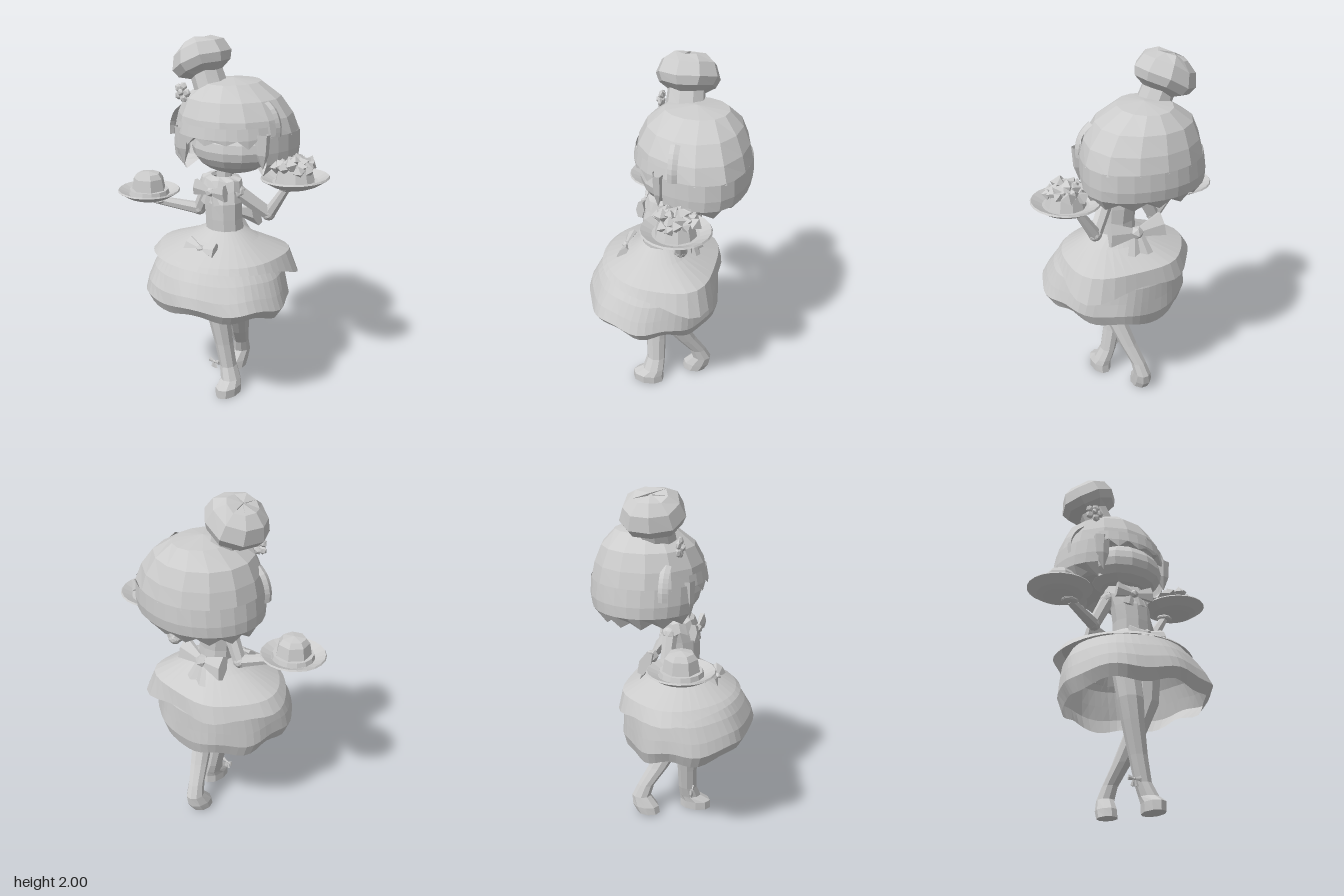
import * as THREE from 'three';

const clay = new THREE.MeshStandardMaterial({ color: 0xcccccc, flatShading: true, side: THREE.DoubleSide });
clay.name = 'light grey';

const V = (x, y, z) => new THREE.Vector3(x, y, z);

// Smooth bump around angle c, sharper for larger k
const bump = (a, c, k) => Math.exp((Math.cos(a - c) - 1) * k);

function add(parent, name, geo, pos = [0, 0, 0], rot = [0, 0, 0], scale = [1, 1, 1]) {
  const m = new THREE.Mesh(geo, clay);
  m.name = name;
  m.position.set(...pos);
  m.rotation.set(...rot);
  m.scale.set(...scale);
  parent.add(m);
  return m;
}

// Skin over horizontal elliptical rings [y, cx, cz, rx, rz], listed top to bottom.
// swell(a, t) scales the radius and drop(a, t, i) shifts the height.
function loft(rows, seg = 8, { swell, drop, a0 = 0, arc = Math.PI * 2 } = {}) {
  const pos = [], idx = [], w = seg + 1;
  rows.forEach(([y, cx, cz, rx, rz], j) => {
    const t = j / (rows.length - 1);
    for (let i = 0; i <= seg; i++) {
      const a = a0 + arc * i / seg, f = swell ? swell(a, t) : 1;
      pos.push(cx + Math.sin(a) * rx * f, y + (drop ? drop(a, t, i % seg) : 0), cz + Math.cos(a) * rz * f);
      if (j && i) {
        const d = j * w + i, b = d - 1, c = d - w, e = c - 1;
        idx.push(e, b, d, e, d, c);
      }
    }
  });
  const g = new THREE.BufferGeometry();
  g.setAttribute('position', new THREE.Float32BufferAttribute(pos, 3));
  g.setIndex(idx);
  g.computeVertexNormals();
  return g;
}

// Tapered limb segment between two points
function bone(parent, name, a, b, ra, rb) {
  const d = b.clone().sub(a);
  const m = add(parent, name, new THREE.CylinderGeometry(rb, ra, d.length(), 7), a.clone().lerp(b, 0.5).toArray());
  m.quaternion.setFromUnitVectors(V(0, 1, 0), d.normalize());
}

// Ribbon bow facing +z, with two hanging tails
function bow(parent, name, size, tail) {
  const g = new THREE.Group();
  g.name = name;
  for (const s of [-1, 1]) {
    add(g, 'bowLoop', new THREE.CylinderGeometry(0.42 * size, 0.14 * size, 0.85 * size, 6),
      [s * 0.45 * size, 0.05 * size, 0], [0, 0, -s * 1.45], [1, 1, 0.45]);
    add(g, 'bowTail', new THREE.CylinderGeometry(0.12 * size, 0.3 * size, tail, 4),
      [s * 0.22 * size, -tail / 2, 0], [0, 0, s * 0.2], [1, 1, 0.3]);
  }
  add(g, 'bowKnot', new THREE.IcosahedronGeometry(0.22 * size, 0));
  parent.add(g);
  return g;
}

function saucer(r, h) {
  return new THREE.LatheGeometry([[0, 0], [0.5 * r, 0], [0.7 * r, 0.25 * h], [r, 0.85 * h], [0.97 * r, h],
    [0.66 * r, 0.55 * h], [0, 0.45 * h]].map(p => new THREE.Vector2(...p)), 22);
}

export function createModel() {
  const model = new THREE.Group();
  model.name = 'waitressFigure';

  // Head: face, domed hair fuller at the back left, jagged fringe
  const fullness = a => 1 + 0.15 * bump(a, 2.15, 7);
  add(model, 'face', new THREE.SphereGeometry(1, 14, 10), [0.04, 1.435, -0.05], [0, 0.15, 0], [0.235, 0.145, 0.19]);
  add(model, 'hairCrown', loft([
    [1.785, -0.03, -0.14, 0, 0], [1.765, -0.035, -0.14, 0.14, 0.17], [1.69, -0.035, -0.13, 0.252, 0.25],
    [1.6, -0.025, -0.128, 0.3, 0.292], [1.51, -0.025, -0.13, 0.322, 0.31]], 14,
  { swell: (a, t) => 1 + t * (fullness(a) - 1) }));
  add(model, 'backHair', loft([
    [1.52, -0.025, -0.13, 0.322, 0.31], [1.43, -0.03, -0.132, 0.33, 0.312], [1.37, -0.032, -0.132, 0.328, 0.302],
    [1.3, -0.03, -0.13, 0.29, 0.25], [1.35, -0.02, -0.12, 0.22, 0.18], [1.36, 0, -0.1, 0, 0]],
  20, { swell: fullness, drop: (a, t, i) => t === 0.6 ? (i % 2) * 0.035 : 0, a0: 1.25, arc: Math.PI * 2 - 1.75 }));
  add(model, 'fringe', loft([[1.57, -0.025, -0.13, 0.312, 0.303], [1.51, -0.025, -0.13, 0.325, 0.314],
    [1.485, -0.025, -0.13, 0.325, 0.312], [1.52, -0.02, -0.12, 0.27, 0.26]], 10,
  { drop: (a, t, i) => t > 0.6 && t < 0.7 ? (i % 2) * 0.035 - (i % 3) * 0.01 : 0, a0: -0.55, arc: 1.85 }));
  for (const [x, z, len] of [[-0.165, 0.125, 0.19], [0.268, -0.01, 0.17]])
    add(model, 'sideLock', loft([[1.54, x, z, 0.05, 0.03], [1.5 - len * 0.4, x, z, 0.042, 0.028], [1.52 - len, x + 0.01, z, 0, 0]], 6));

  // Curved strands lying off each side of the head
  for (const [s, x, y, z] of [[-1, 0.01, -0.06, 0.03], [1, 0, 0, -0.09]])
    add(model, 'looseStrand', new THREE.TubeGeometry(new THREE.CatmullRomCurve3([V(s * (0.24 + x), 1.69 + y, 0),
      V(s * (0.285 + x), 1.65 + y, 0), V(s * (0.315 + x), 1.58 + y, 0), V(s * (0.315 + x), 1.52 + y, 0)]), 8, 0.01, 4),
    [0, 0, z], [0, 0, 0], [1, 1, 2.5]);

  // Puffy hat, tilted to one side
  add(model, 'hat', loft([
    [0.225, 0, 0, 0, 0], [0.22, 0, 0, 0.08, 0.09], [0.18, 0, 0, 0.145, 0.145], [0.11, -0.005, 0, 0.17, 0.172],
    [0.065, -0.005, 0, 0.15, 0.15], [0.035, 0, 0, 0.085, 0.1], [-0.04, 0, 0, 0.085, 0.105]], 9,
  { drop: a => 0.008 * Math.sin(3 * a) }), [-0.135, 1.772, -0.06], [0, 0, 0.42]);
  const flower = new THREE.Group();
  flower.name = 'hairFlower';
  flower.position.set(-0.2, 1.715, 0.085);
  for (let i = 0; i < 5; i++) {
    const a = i * Math.PI * 0.4;
    add(flower, 'petal', new THREE.IcosahedronGeometry(0.026, 0), [Math.cos(a) * 0.032, Math.sin(a) * 0.032, 0], [0, 0, a], [1, 1, 0.6]);
  }
  add(flower, 'flowerCentre', new THREE.IcosahedronGeometry(0.02, 0), [0, 0, 0.012]);
  model.add(flower);

  // Neck, bodice and collar
  add(model, 'neck', new THREE.CylinderGeometry(0.04, 0.045, 0.14, 8), [0.015, 1.29, -0.01]);
  add(model, 'bodice', loft([[1.27, 0.02, 0.01, 0.05, 0.05], [1.235, 0.025, 0.02, 0.11, 0.085],
    [1.15, 0.045, 0.033, 0.112, 0.1], [1.06, 0.052, 0.035, 0.107, 0.098], [0.97, 0.055, 0.03, 0.11, 0.1]], 10));
  add(model, 'collar', loft([[1.285, 0.02, 0.01, 0.065, 0.06], [1.265, 0.02, 0.015, 0.12, 0.09], [1.205, 0.02, 0.025, 0.135, 0.1]], 16,
    { drop: (a, t, i) => t * (i % 2) * 0.02 }));
  bow(model, 'collarBow', 0.12, 0.07).position.set(0.03, 1.21, 0.125);

  // Arms
  const arms = {
    rightArm: [V(-0.08, 1.21, 0), V(-0.16, 1.045, 0), V(-0.35, 1.09, 0.14)],
    leftArm: [V(0.12, 1.2, 0), V(0.24, 1.07, -0.12), V(0.34, 1.235, -0.14)]
  };
  for (const [name, [s, e, h]] of Object.entries(arms)) {
    const arm = new THREE.Group();
    arm.name = name;
    bone(arm, 'upperArm', s, e, 0.042, 0.036);
    bone(arm, 'forearm', e, h, 0.036, 0.024);
    add(arm, 'shoulder', new THREE.IcosahedronGeometry(0.045, 1), s.toArray());
    add(arm, 'elbow', new THREE.IcosahedronGeometry(0.038, 1), e.toArray());
    add(arm, 'hand', new THREE.IcosahedronGeometry(0.04, 1), h.toArray(), [0, 0, 0], [1.2, 0.5, 1]);
    model.add(arm);
  }

  // Plate with pudding
  const pudding = new THREE.Group();
  pudding.name = 'puddingPlate';
  pudding.position.set(-0.41, 1.092, 0.15);
  add(pudding, 'plate', saucer(0.177, 0.055));
  add(pudding, 'sauce', new THREE.CylinderGeometry(0.11, 0.118, 0.03, 14), [0, 0.04, 0]);
  add(pudding, 'pudding', loft([[0.157, 0, 0, 0, 0], [0.147, 0, 0, 0.065, 0.065], [0.12, 0, 0, 0.085, 0.085], [0.04, 0, 0, 0.1, 0.1]], 7));
  model.add(pudding);

  // Plate with fruit cake
  const cake = new THREE.Group();
  cake.name = 'cakePlate';
  cake.position.set(0.403, 1.257, -0.13);
  cake.rotation.z = 0.05;
  add(cake, 'plate', saucer(0.183, 0.058));
  add(cake, 'cakeBase', new THREE.CylinderGeometry(0.09, 0.11, 0.08, 10), [0, 0.06, 0]);
  for (let i = 0; i < 24; i++) {
    const a = i * 2.4, r = 0.021 * Math.sqrt(i);
    add(cake, 'fruitPiece', new THREE.OctahedronGeometry(0.03 + (i % 3) * 0.006, 0),
      [Math.cos(a) * r, 0.14 - r * 0.5 + (i % 4) * 0.008, Math.sin(a) * r], [i, a, 0]);
  }
  model.add(cake);

  // Overskirt, short in front, with draped flaps at the sides and back
  const flaps = a => 0.28 * bump(a, 2.35, 10) + 0.1 * bump(a, -1.5, 10) + 0.1 * bump(a, -2.6, 14);
  add(model, 'overskirt', loft([[1.0, 0.055, 0.03, 0.105, 0.1], [0.95, 0.05, 0.035, 0.19, 0.165],
    [0.87, 0.02, 0.03, 0.35, 0.315], [0.79, 0.015, 0.035, 0.385, 0.335]], 40, {
    swell: (a, t) => 1 + t * (flaps(a) - 0.03 * (1 - Math.cos(a))),
    drop: (a, t) => t === 1 ? 0.03 + 0.03 * Math.cos(a) - 0.25 * flaps(a) : 0
  }));

  // Ruffled underskirt, fuller towards the front corners
  add(model, 'ruffledUnderskirt', loft([[0.86, 0.03, 0.04, 0.32, 0.3], [0.78, 0.035, 0.05, 0.37, 0.34], [0.7, 0.045, 0.065, 0.395, 0.36],
    [0.63, 0.055, 0.068, 0.412, 0.368], [0.565, 0.05, 0.06, 0.375, 0.34]], 56, {
    swell: (a, t) => 1 + t * (0.1 * bump(a, -0.85, 8) + 0.05 * bump(a, 1.0, 8) - 0.06 * bump(a, 2.2, 6) + 0.02 * Math.sin(9 * a)),
    drop: (a, t) => t * (0.035 * Math.cos(a) + 0.02 * Math.sin(a) + 0.015 * Math.sin(7 * a))
  }));
  const sash = bow(model, 'skirtFrontBow', 0.11, 0.1);
  sash.position.set(0.055, 0.925, 0.235);
  sash.rotation.x = -0.7;
  const backBow = bow(model, 'backBow', 0.18, 0.26);
  backBow.position.set(0, 1.03, -0.13);
  backBow.rotation.x = 0.4;

  // Crossed legs with shoes
  add(model, 'rightLeg', loft([[0.85, 0.0, 0.05, 0.08, 0.09], [0.6, 0.025, 0.078, 0.072, 0.078], [0.48, 0.042, 0.07, 0.062, 0.072],
    [0.3, 0.075, 0.06, 0.05, 0.058], [0.16, 0.103, 0.055, 0.045, 0.055], [0.09, 0.13, 0.065, 0.052, 0.065],
    [0.055, 0.14, 0.095, 0.06, 0.093], [0.005, 0.14, 0.095, 0.058, 0.095], [0.005, 0.14, 0.095, 0, 0]], 9));
  add(model, 'leftLeg', loft([[0.85, 0.15, 0.02, 0.08, 0.09], [0.62, 0.15, -0.005, 0.072, 0.08], [0.46, 0.1, -0.035, 0.06, 0.07],
    [0.3, 0.05, -0.115, 0.05, 0.06], [0.19, 0.01, -0.18, 0.043, 0.05], [0.12, -0.005, -0.205, 0.048, 0.057],
    [0.06, -0.012, -0.175, 0.056, 0.08], [0.015, -0.012, -0.158, 0.055, 0.07], [0.01, -0.012, -0.158, 0, 0]], 9));
  bow(model, 'ankleBow', 0.04, 0.04).position.set(0.035, 0.17, 0.1);
  return model;
}
